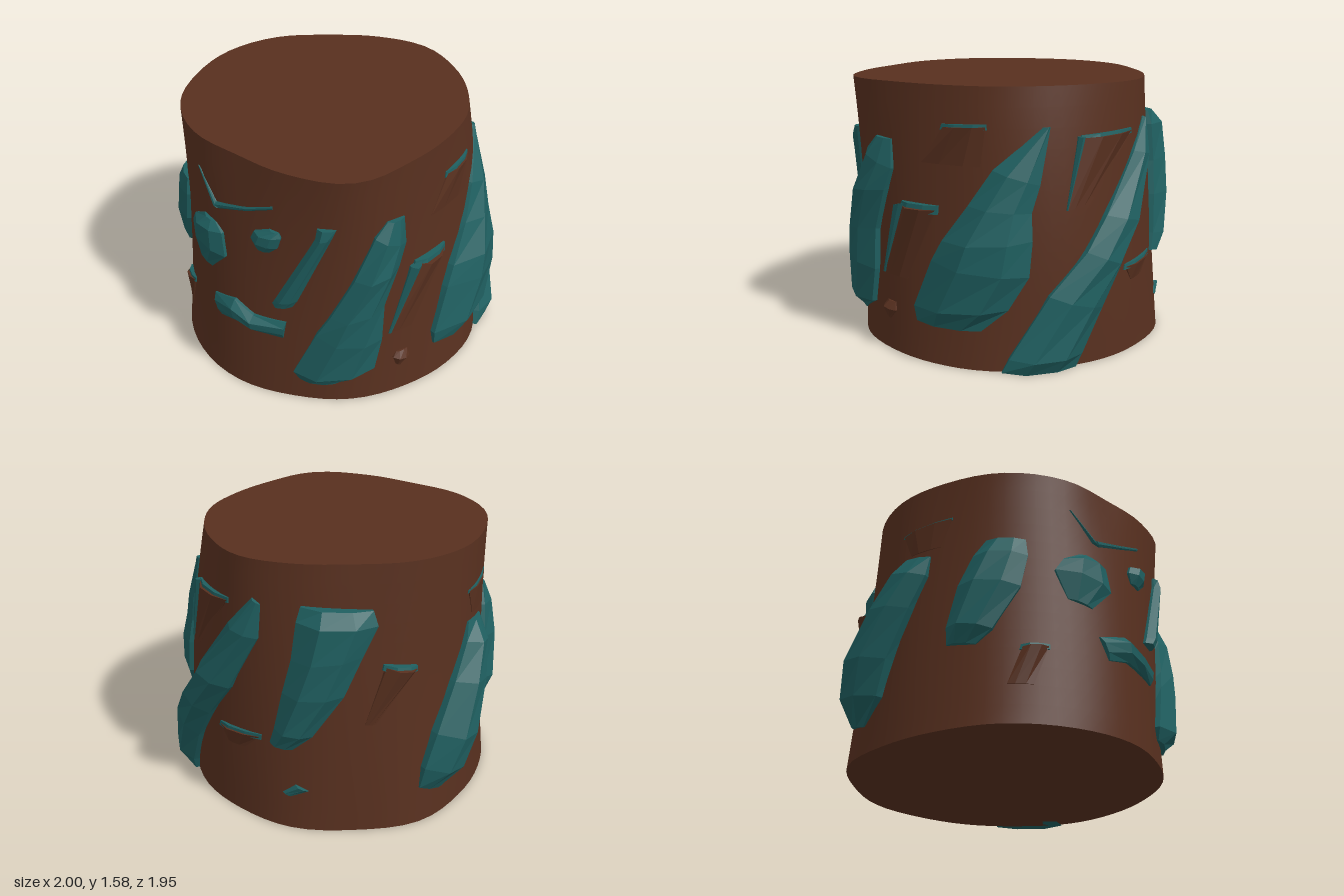
import * as THREE from 'three';
import { toCreasedNormals } from 'three/addons/utils/BufferGeometryUtils.js';

const BROWN = 0x58301f, TEAL = 0x1f5f60, HEIGHT = 1.58, WAIST = .75;

// Radii every 22.5 degrees, from the front (+z) round towards +x
const TOP = [.935, .82, .765, .76, .76, .79, .84, .82, .81, .87, .9, .9, .92, .9, .85, .89];
const MID = [.88, .83, .805, .835, .865, .865, .87, .88, .89, .92, .925, .91, .92, .92, .91, .89];
const BASE = [.89, .87, .88, .9, .88, .89, .9, .94, .945, .985, .95, .95, .98, .97, .945, .9];

// Smooth closed interpolation of a radius list
function ringRadius(list, angle) {
  const n = list.length, t = ((angle / (2 * Math.PI)) * n + 2 * n) % n;
  const i = Math.floor(t), f = t - i;
  const [a, b, c, d] = [-1, 0, 1, 2].map(k => list[(i + k + n) % n]);
  return b + .5 * f * (c - a + f * (2 * a - 5 * b + 4 * c - d + f * (3 * (b - c) + d - a)));
}

// Quadratic profile through the base, waist and top rings
function bodyRadius(angle, y) {
  return ringRadius(BASE, angle) * (y - WAIST) * (y - HEIGHT) / (WAIST * HEIGHT)
    + ringRadius(MID, angle) * y * (HEIGHT - y) / (WAIST * (HEIGHT - WAIST))
    + ringRadius(TOP, angle) * y * (y - WAIST) / (HEIGHT * (HEIGHT - WAIST));
}

// Point at sideways offset u and height y, as faced from azimuth az, lifted off the body by h
function onBody(az, u, y, h) {
  let depth = .6, angle = 0;
  for (let i = 0; i < 20; i++) {
    angle = Math.atan2(u, depth);
    const r = bodyRadius(angle + az, y);
    depth = .5 * (depth + Math.sqrt(Math.max(r * r - u * u, .01)));
  }
  const r = bodyRadius(angle + az, y) + h;
  return [r * Math.sin(angle + az), y, r * Math.cos(angle + az)];
}

// Across each section: position from left edge to right edge, share of the height
const SECTION = [[0, null], [0, .3], [.3, 1], [.7, .88], [1, .3], [1, null]];

// Faceted lump lofted through stations [uLeft, yLeft, uRight, yRight, height]
function shard(name, color, azDegrees, stations) {
  const az = THREE.MathUtils.degToRad(azDegrees), n = SECTION.length;
  const points = [], index = [];
  for (const [ul, yl, ur, yr, h] of stations) {
    for (const [t, share] of SECTION) {
      points.push(...onBody(az, ul + (ur - ul) * t, yl + (yr - yl) * t, share === null ? -.08 : h * share));
    }
  }
  const last = (stations.length - 1) * n;
  for (let i = 0; i < last; i += n) {
    for (let j = 0; j < n; j++) {
      const a = i + j, b = i + (j + 1) % n;
      index.push(a, b, b + n, a, b + n, a + n);
    }
  }
  for (let j = 1; j < n - 1; j++) index.push(0, j + 1, j, last, last + j, last + j + 1);
  const indexed = new THREE.BufferGeometry();
  indexed.setAttribute('position', new THREE.Float32BufferAttribute(points, 3));
  indexed.setIndex(index);
  const geometry = indexed.toNonIndexed();
  geometry.computeVertexNormals();
  const mesh = new THREE.Mesh(geometry, new THREE.MeshStandardMaterial({ color }));
  mesh.name = name;
  return mesh;
}

// Brown slab rising from flush at its foot to a lip edged in teal
function slab(name, az, [ul, yl, ur, yr], [tl, ytl, tr, ytr], h, rim = .016) {
  const group = new THREE.Group();
  group.name = name;
  group.add(shard('slabFace', BROWN, az, [[ul, yl, ur, yr, .006], [tl, ytl, tr, ytr, h]]));
  group.add(shard('slabRim', TEAL, az, [
    [tl - rim, ytl - rim, tr + rim * .4, ytr - rim, h * .7],
    [tl - rim * .5, ytl + rim, tr + rim * .4, ytr + rim, h * .6]]));
  return group;
}

export function createModel() {
  const model = new THREE.Group();

  // Earthy stump
  const stump = new THREE.CylinderGeometry(1, 1, HEIGHT, 64, 14);
  stump.translate(0, HEIGHT / 2, 0);
  const p = stump.attributes.position;
  for (let i = 0; i < p.count; i++) {
    const x = p.getX(i), y = p.getY(i), z = p.getZ(i);
    const r = bodyRadius(Math.atan2(x, z), y);
    p.setXYZ(i, x * r, y, z * r);
  }
  const body = new THREE.Mesh(toCreasedNormals(stump, .7), new THREE.MeshStandardMaterial({ color: BROWN }));
  body.name = 'stump';
  model.add(body);

  // Large crystals
  const crystals = {
    frontCrystal: [0, [[-.3, .15, -.1, .13, .03], [-.33, .22, .13, .24, .1], [-.2, .52, .17, .45, .11],
      [-.12, .66, .18, .7, .11], [.01, .92, .26, .95, .11], [.12, 1.18, .3, 1.08, .07], [.19, 1.26, .29, 1.25, .03]]],
    frontLeftCrystal: [90, [[-.68, .23, -.38, .23, .05], [-.68, .32, -.24, .36, .11], [-.59, .6, -.13, .55, .14],
      [-.54, .72, -.11, .75, .14], [-.42, .93, -.11, .9, .1], [-.3, 1.13, -.06, 1.05, .07], [-.03, 1.36, .01, 1.36, .02]]],
    longCrystal: [90, [[-.28, 0, .14, 0, .08], [-.24, .08, .17, .08, .125], [-.02, .43, .3, .33, .11],
      [.2, .66, .43, .55, .12], [.33, .85, .57, .78, .11], [.55, 1.18, .69, 1.13, .06], [.66, 1.36, .69, 1.33, .02]]],
    backCrystal: [180, [[-.46, .52, -.34, .5, .04], [-.43, .62, -.23, .6, .08], [-.38, .85, -.06, .85, .11],
      [-.33, 1.05, .04, 1.08, .12], [-.3, 1.27, .12, 1.25, .12], [-.28, 1.35, .1, 1.33, .06]]],
    backRightCrystal: [215, [[-.2, .22, -.02, .17, .03], [-.18, .35, .13, .3, .14], [-.1, .55, .2, .5, .18],
      [.05, .82, .32, .78, .14], [.17, 1.02, .4, .97, .1], [.22, 1.12, .41, 1.1, .03]]],
    rightCrystal: [270, [[-.31, .5, -.15, .48, .03], [-.31, .6, -.06, .56, .08], [-.25, .85, .09, .82, .09],
      [-.17, 1.03, .13, 1.02, .07], [-.1, 1.13, .12, 1.13, .03]]],
    // Small crystals
    nugget: [0, [[-.85, .78, -.78, .75, .02], [-.87, .95, -.69, .89, .06], [-.85, 1.03, -.7, 1.04, .06], [-.8, 1.09, -.74, 1.08, .02]]],
    smallNugget: [0, [[-.52, 1.05, -.45, 1.04, .02], [-.54, 1.11, -.4, 1.09, .05], [-.52, 1.16, -.38, 1.16, .05], [-.44, 1.2, -.39, 1.19, .02]]],
    splinter: [0, [[-.44, .7, -.33, .7, .05], [-.42, .74, -.3, .75, .06], [-.2, 1.2, -.11, 1.22, .05], [-.19, 1.27, -.09, 1.27, .03]]],
    bentSplinter: [0, [[-.77, .58, -.74, .45, .03], [-.65, .63, -.64, .48, .06], [-.55, .57, -.55, .46, .06], [-.37, .57, -.39, .45, .03]]],
    thinVeinLeft: [0, [[-.74, 1.2, -.71, 1.19, .02], [-.82, 1.38, -.81, 1.37, .005]]],
    thinVeinRight: [0, [[-.73, 1.22, -.71, 1.19, .02], [-.57, 1.28, -.56, 1.26, .012], [-.42, 1.35, -.42, 1.33, .008]]],
    frontSlabEdge: [0, [[.22, .45, .24, .45, .01], [.34, .88, .4, .9, .06]]],
    upperLeftSlabEdge: [90, [[.09, .9, .1, .9, .01], [.17, 1.3, .21, 1.3, .04]]],
    backChip: [180, [[-.4, .22, -.36, .2, .01], [-.33, .28, -.26, .25, .025]]],
  };
  for (const [name, [az, stations]] of Object.entries(crystals)) model.add(shard(name, TEAL, az, stations));

  // Half-buried slabs
  model.add(
    slab('frontSlab', 0, [.23, .45, .42, .45], [.38, .88, .55, .88], .07, .025),
    slab('upperFrontSlab', 90, [-.64, 1.14, -.36, 1.14], [-.53, 1.35, -.33, 1.36], .035),
    slab('upperLeftSlab', 90, [.1, .9, .24, .92], [.2, 1.29, .53, 1.3], .045),
    slab('backLeftSlab', 90, [.55, .42, .65, .43], [.5, .51, .72, .53], .035),
    slab('backSlab', 215, [-.47, .66, -.42, .66], [-.36, 1.0, -.2, .97], .08),
    slab('upperBackSlab', 215, [.28, 1.15, .46, 1.15], [.22, 1.3, .52, 1.32], .02, .008),
    slab('lowerRightSlab', 270, [.02, .23, .16, .23], [.1, .45, .24, .46], .04));

  // Earth nub near the foot
  model.add(shard('nub', BROWN, 0, [[.27, .2, .3, .18, .01], [.25, .26, .35, .24, .04], [.27, .29, .34, .29, .01]]));
  return model;
}
